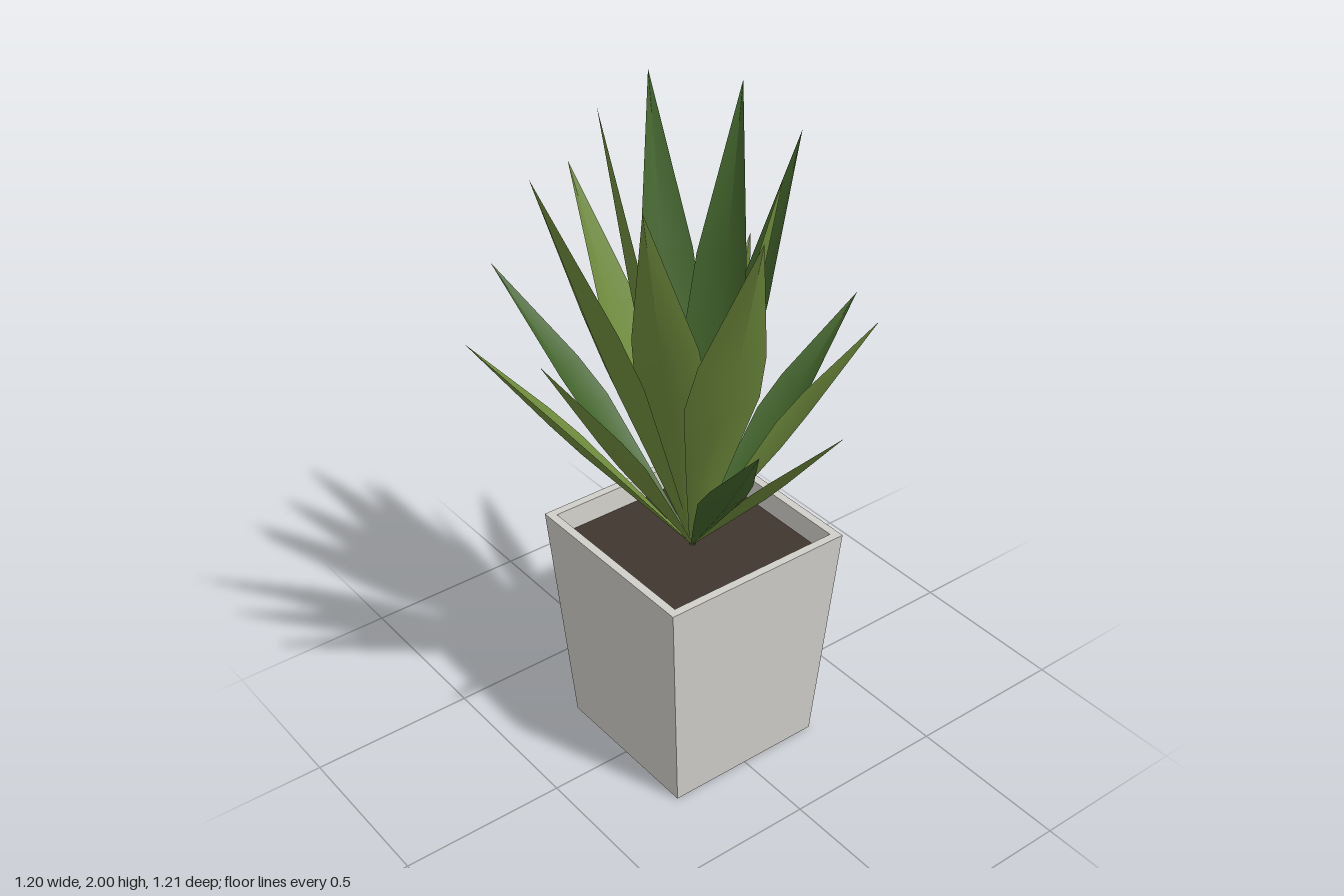
import * as THREE from 'three';

const SOIL_Y = 0.65;

// Straight tapering blade from the soil centre to its tip, folded along a keel
function leafGeometry(tip, width) {
  const base = new THREE.Vector3(0, SOIL_Y, 0);
  const axis = tip.clone().sub(base);
  const out = new THREE.Vector3(tip.x, 0, tip.z).normalize();
  const side = new THREE.Vector3(-out.z, 0, out.x);
  const dir = axis.clone().normalize();
  // direction from the keel towards the plant's centre
  const inner = new THREE.Vector3(0, 1, 0).addScaledVector(dir, -dir.y).normalize();
  const stations = [[0, 0.08], [0.25, 0.56], [0.5, 1], [0.64, 0.88], [1, 0.005]];
  const pos = [], idx = [];
  for (const [t, w] of stations) {
    const half = w * width / 2;
    for (const s of [-1, 0, 1]) {
      const p = base.clone().addScaledVector(axis, t)
        .addScaledVector(side, s * half)
        .addScaledVector(inner, half * (s === 0 ? -0.22 : 0.2));
      pos.push(p.x, p.y, p.z);
    }
  }
  for (let i = 0; i < stations.length - 1; i++) {
    for (let j = 0; j < 2; j++) {
      const a = i * 3 + j, b = a + 1, c = a + 3, d = a + 4;
      idx.push(a, b, c, b, d, c);
    }
  }
  const g = new THREE.BufferGeometry();
  g.setAttribute('position', new THREE.Float32BufferAttribute(pos, 3));
  g.setIndex(idx);
  g.computeVertexNormals();
  return g;
}

export function createModel() {
  const mat = (name, color, side = THREE.FrontSide) => {
    const m = new THREE.MeshStandardMaterial({ color, side });
    m.name = name;
    return m;
  };
  const stone = mat('pale stone', 0xd0cec9);
  const earth = mat('dark soil', 0x40362f);
  const olive = mat('olive green', 0x708d3d, THREE.DoubleSide);
  const deep = mat('deep green', 0x43652c, THREE.DoubleSide);

  const model = new THREE.Group();
  model.name = 'pottedPlant';
  const add = (name, geometry, material, parent = model) => {
    const mesh = new THREE.Mesh(geometry, material);
    mesh.name = name;
    parent.add(mesh);
    return mesh;
  };

  // Square tapered pot: base, outer wall, rim, inner wall
  const profile = [[0, 0], [0.25, 0], [0.3, 0.72], [0.275, 0.72], [0.271, 0.64]]
    .map(([r, y]) => new THREE.Vector2(r * Math.SQRT2, y));
  const potGeometry = new THREE.LatheGeometry(profile, 4, Math.PI / 4).toNonIndexed();
  potGeometry.computeVertexNormals();
  add('pot', potGeometry, stone);

  // Recessed soil
  const soil = add('soil', new THREE.PlaneGeometry(0.544, 0.544), earth);
  soil.rotation.x = -Math.PI / 2;
  soil.position.y = SOIL_Y;

  // Leaves: tip x, y, z, width, colour
  const outer = [
    [0.60, 1.26, -0.01, 0.13, deep],
    [0.41, 1.36, 0.28, 0.13, olive],
    [0.03, 1.29, 0.57, 0.12, olive],
    [-0.27, 1.37, 0.60, 0.13, deep],
    [-0.56, 1.50, 0.12, 0.14, olive],
    [-0.60, 1.45, -0.16, 0.14, olive],
    [-0.31, 1.45, -0.49, 0.14, deep],
    [0.11, 1.38, -0.61, 0.13, deep],
    [0.42, 1.40, -0.27, 0.14, olive],
  ];
  const inner = [
    [0.31, 1.86, 0.06, 0.16, deep],
    [0.12, 1.84, 0.21, 0.15, olive],
    [-0.15, 1.84, 0.46, 0.21, olive],
    [-0.35, 1.90, 0.26, 0.20, olive],
    [-0.50, 1.94, 0.02, 0.17, olive],
    [-0.21, 2.00, -0.11, 0.17, olive],
    [-0.10, 1.72, -0.41, 0.16, olive],
    [0.11, 1.95, -0.33, 0.17, deep],
    [0.26, 1.95, -0.12, 0.17, deep],
  ];
  for (const [name, list] of [['outerLeaf', outer], ['innerLeaf', inner]]) {
    const ring = new THREE.Group();
    ring.name = name + 'Ring';
    model.add(ring);
    list.forEach(([x, y, z, width, material], i) =>
      add(name + (i + 1), leafGeometry(new THREE.Vector3(x, y, z), width), material, ring));
  }
  return model;
}
